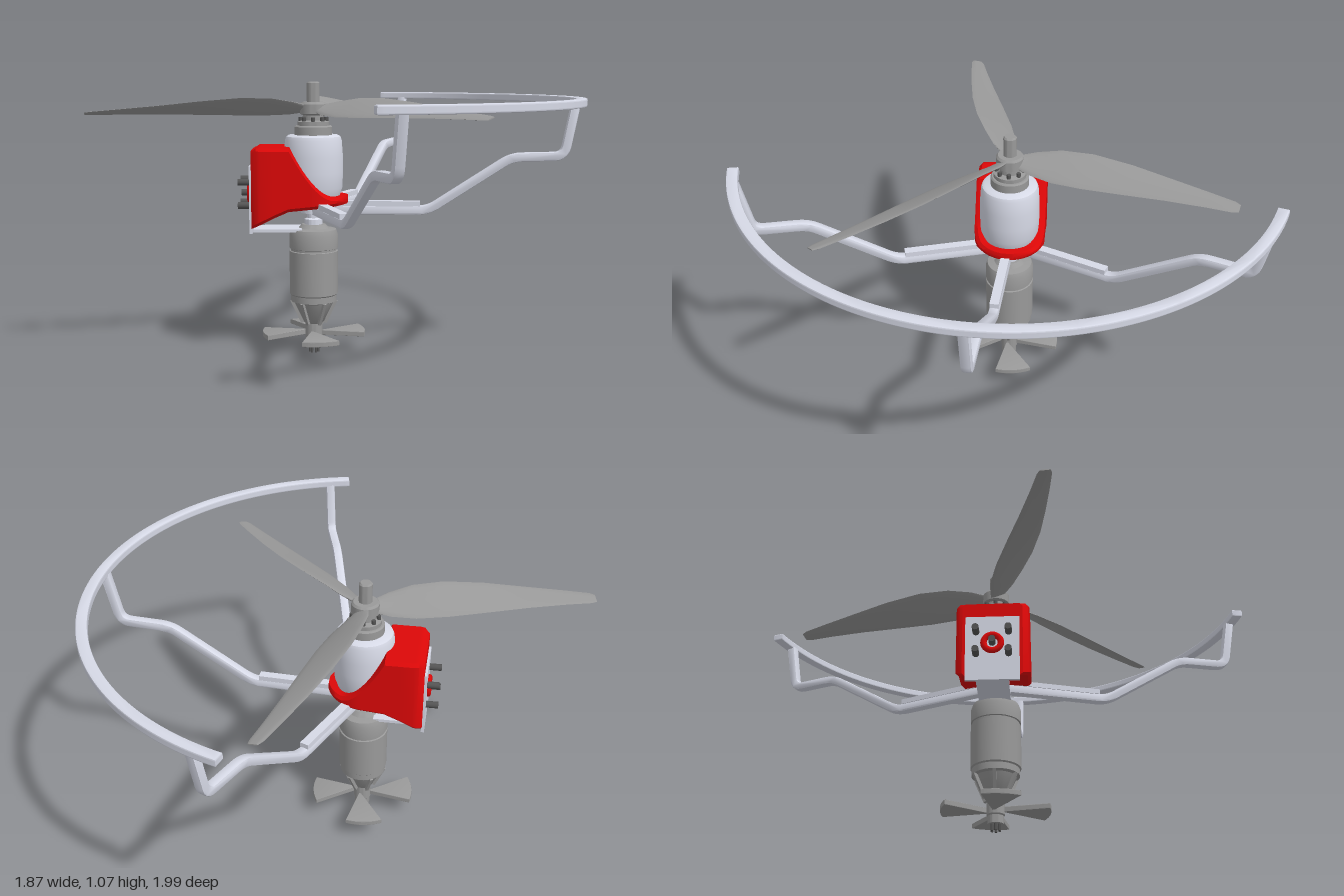
import * as THREE from 'three';
import { toCreasedNormals } from 'three/addons/utils/BufferGeometryUtils.js';

const mat = (color) => new THREE.MeshStandardMaterial({ color, side: THREE.DoubleSide });
const pale = mat(0xd6d9e6), grey = mat(0x999999), dark = mat(0x555555), red = mat(0xdd0808);
const rad = THREE.MathUtils.degToRad;

function add(parent, name, geometry, material, x = 0, y = 0, z = 0) {
  const mesh = new THREE.Mesh(geometry, material);
  mesh.name = name;
  mesh.position.set(x, y, z);
  parent.add(mesh);
  return mesh;
}

function lathe(points, segments = 40) {
  const g = new THREE.LatheGeometry(points.map(([r, y]) => new THREE.Vector2(r, y)), segments);
  return toCreasedNormals(g, 0.6);
}

// Skin closed rings of points (ordered counter-clockwise about the sweep direction)
function loft(rings, crease) {
  const n = rings[0].length, pos = rings.flat(2), index = [];
  for (let i = 0; i < rings.length - 1; i++) {
    for (let j = 0; j < n; j++) {
      const a = i * n + j, b = i * n + (j + 1) % n;
      index.push(a, b, b + n, a, b + n, a + n);
    }
  }
  const last = (rings.length - 1) * n;
  for (let j = 1; j < n - 1; j++) index.push(0, j + 1, j, last, last + j, last + j + 1);
  const g = new THREE.BufferGeometry();
  g.setAttribute('position', new THREE.Float32BufferAttribute(pos, 3));
  g.setIndex(index);
  return toCreasedNormals(g, crease);
}

// Flat plate lying in the xz plane, centred on y = 0
function plate(shape, depth, bevel) {
  const g = new THREE.ExtrudeGeometry(shape, {
    depth: depth - 2 * bevel, bevelThickness: bevel, bevelSize: bevel, bevelOffset: -bevel,
    bevelSegments: 2, curveSegments: 64, bevelEnabled: bevel > 0,
  });
  g.translate(0, 0, -depth / 2 + bevel).rotateX(Math.PI / 2);
  return toCreasedNormals(g, 0.6);
}

// Bar of constant thickness following a polyline with rounded bends, in the xy plane
function bentBar(points, thick, width) {
  const p = points.map(([x, y]) => new THREE.Vector2(x, y));
  const path = [p[0]];
  for (let i = 1; i < p.length - 1; i++) {
    const a = p[i].clone().add(p[i - 1].clone().sub(p[i]).setLength(0.04));
    const b = p[i].clone().add(p[i + 1].clone().sub(p[i]).setLength(0.04));
    path.push(...new THREE.QuadraticBezierCurve(a, p[i], b).getPoints(5));
  }
  path.push(p[p.length - 1]);
  const side = (s) => path.map((q, i) => {
    const t = path[Math.min(i + 1, path.length - 1)].clone().sub(path[Math.max(i - 1, 0)]).normalize();
    return new THREE.Vector2(q.x - t.y * s, q.y + t.x * s);
  });
  const shape = new THREE.Shape([...side(-thick / 2), ...side(thick / 2).reverse()]);
  const bevel = 0.007;
  const g = new THREE.ExtrudeGeometry(shape, {
    depth: width - 2 * bevel, bevelThickness: bevel, bevelSize: bevel, bevelOffset: -bevel, bevelSegments: 2,
  });
  g.translate(0, 0, -width / 2 + bevel);
  return toCreasedNormals(g, 0.6);
}

// Twisted airfoil blade pointing along +x
function bladeGeometry() {
  // span, rear edge, front edge, slope, height, thickness
  const stations = [
    [0.03, -0.025, 0.025, 0.5, 0.965, 0.02], [0.09, -0.05, 0.04, 0.55, 0.967, 0.016],
    [0.18, -0.07, 0.055, 0.55, 0.972, 0.013], [0.3, -0.082, 0.056, 0.5, 0.974, 0.011],
    [0.45, -0.078, 0.046, 0.43, 0.97, 0.009], [0.6, -0.062, 0.034, 0.36, 0.964, 0.008],
    [0.75, -0.042, 0.026, 0.3, 0.958, 0.006], [0.84, -0.028, 0.024, 0.25, 0.954, 0.005],
    [0.86, -0.018, 0.018, 0.25, 0.953, 0.004],
  ];
  return loft(stations.map(([u, z0, z1, slope, y, t]) => Array.from({ length: 16 }, (_, k) => {
    const a = k / 16 * Math.PI * 2, w = (z1 - z0) / 2 * Math.cos(a);
    return [u, y - slope * w - t / 2 * Math.sin(a), (z0 + z1) / 2 + w];
  })), 1.0);
}

// Gearbox cover: tall box at the back, sweeping down to a round cup about the axis
function housingGeometry() {
  const rings = [];
  const xs = [-0.235, -0.23, -0.215, -0.2, -0.15, -0.092];
  for (let i = 0; i <= 20; i++) xs.push(-0.09 + 0.224 * Math.sin(i / 20 * Math.PI / 2));
  for (const x of xs) {
    const s = THREE.MathUtils.clamp((x + 0.09) / 0.17, 0, 1);
    const top = x < -0.22 ? 0.81 : 0.63 + 0.19 * Math.pow(1 - s, 1.7);
    const bottom = x < -0.1 ? 0.51 + (x + 0.235) * 0.5 : 0.577 + (x + 0.1) * 0.1;
    const round = x < -0.2 ? 0.025 * Math.pow((-0.2 - x) / 0.035, 2) : 0;
    const w = x > 0 ? Math.sqrt(Math.max(0.137 ** 2 - x * x, 1e-5)) : 0.137 - round;
    const c = Math.min(0.012, w * 0.3);
    rings.push([
      [x, bottom, -w + c], [x, bottom + c, -w], [x, top - c, -w], [x, top, -w + c],
      [x, top, w - c], [x, top - c, w], [x, bottom + c, w], [x, bottom, w - c],
    ]);
  }
  return loft(rings, 0.6);
}

export function createModel() {
  const model = new THREE.Group();
  model.name = 'propellerUnit';
  const unit = new THREE.Group();
  unit.name = 'driveUnit';
  unit.position.set(-0.1, 0, -0.015);
  model.add(unit);

  // Lower motor with tapered nose, shaft and grooves
  add(unit, 'lowerMotor', lathe([
    [0, 0.025], [0.03, 0.025], [0.03, 0.055], [0.034, 0.06], [0.034, 0.12], [0.04, 0.125], [0.078, 0.205],
    [0.09, 0.21], [0.09, 0.235], [0.095, 0.24], [0.095, 0.41], [0.09, 0.412], [0.09, 0.42], [0.095, 0.422],
    [0.095, 0.475], [0.088, 0.495], [0.06, 0.5], [0.045, 0.515], [0, 0.515]]), grey);
  for (let i = 0; i < 6; i++) {
    const arm = new THREE.Group();
    arm.rotation.y = i * Math.PI / 3;
    unit.add(arm);
    const rib = add(arm, 'noseRib', new THREE.BoxGeometry(0.014, 0.1, 0.012), grey, 0.065, 0.165);
    rib.rotation.z = -0.44;
    add(arm, 'shaftPin', new THREE.CylinderGeometry(0.005, 0.005, 0.03, 8), dark, 0.016, 0.015);
  }
  add(unit, 'neck', lathe([[0.035, 0.51], [0.035, 0.535], [0.025, 0.54], [0.025, 0.56], [0.05, 0.56], [0.05, 0.6]]), pale);

  // Four-paddle lower rotor
  for (let i = 0; i < 4; i++) {
    const shape = new THREE.Shape();
    shape.moveTo(0.02, -0.012);
    shape.absarc(0, 0, 0.203, -0.36, 0.36, false);
    shape.lineTo(0.02, 0.012);
    const paddle = add(unit, 'lowerPaddle', plate(shape, 0.02, 0.003), grey, 0, 0.08);
    paddle.rotation.y = -rad(-9 + 90 * i);
  }

  // Upper motor can, collar and output shaft
  add(unit, 'upperMotor', lathe([
    [0, 0.59], [0.085, 0.59], [0.1, 0.62], [0.113, 0.66], [0.115, 0.72], [0.115, 0.78], [0.11, 0.845],
    [0.105, 0.858], [0.095, 0.864], [0, 0.864]]), pale);
  add(unit, 'collar', lathe([
    [0.073, 0.86], [0.073, 0.895], [0.068, 0.9], [0.062, 0.9], [0.062, 0.915], [0.04, 0.92], [0.04, 0.94],
    [0.052, 0.945], [0.052, 0.982], [0.045, 0.99], [0.025, 0.99], [0.025, 1.062], [0.02, 1.068], [0, 1.068]]), grey);
  for (let i = 0; i < 8; i++) {
    const a = i * Math.PI / 4;
    add(unit, 'collarBolt', new THREE.CylinderGeometry(0.008, 0.008, 0.025, 8), dark, 0.05 * Math.cos(a), 0.92, 0.05 * Math.sin(a));
  }

  // Three-bladed main propeller
  const blade = bladeGeometry();
  for (const deg of [46, 166, 286]) add(unit, 'propellerBlade', blade, grey).rotation.y = -rad(deg);

  // Red cover with back plate, bracket and bolts
  add(unit, 'gearboxCover', housingGeometry(), red);
  add(unit, 'backPlate', new THREE.BoxGeometry(0.012, 0.26, 0.2), pale, -0.238, 0.62);
  add(unit, 'bracketFoot', new THREE.BoxGeometry(0.2, 0.012, 0.12), pale, -0.144, 0.496);
  const bolt = new THREE.CylinderGeometry(0.013, 0.013, 0.05, 12).rotateZ(Math.PI / 2);
  for (const y of [0.595, 0.685]) {
    for (const z of [-0.06, 0.06]) add(unit, 'plateBolt', bolt, dark, -0.265, y, z);
  }
  add(unit, 'plateRing', new THREE.TorusGeometry(0.032, 0.012, 10, 28).rotateY(Math.PI / 2), red, -0.246, 0.64);
  add(unit, 'plateShaft', bolt, dark, -0.255, 0.64);

  // Curved guard rail
  const arc = new THREE.Shape();
  arc.absarc(0, 0, 1.03, rad(-72.4), rad(78.4), false);
  arc.absarc(0, 0, 0.988, rad(78.4), rad(-72.4), true);
  add(unit, 'guardRail', plate(arc, 0.03, 0.006), pale, 0, 0.995);

  // Bent support arms with clamp straps
  const bar = bentBar([[0.03, 0.572], [0.445, 0.572], [0.765, 0.78], [0.965, 0.785], [1.003, 0.985]], 0.034, 0.036);
  for (const deg of [-66.4, 3.3, 73.6]) {
    const arm = new THREE.Group();
    arm.name = 'guardArm';
    arm.rotation.y = -rad(deg);
    unit.add(arm);
    add(arm, 'armBar', bar, pale);
    add(arm, 'armStrap', new THREE.BoxGeometry(0.33, 0.02, 0.034), pale, 0.25, 0.598);
  }
  return model;
}
